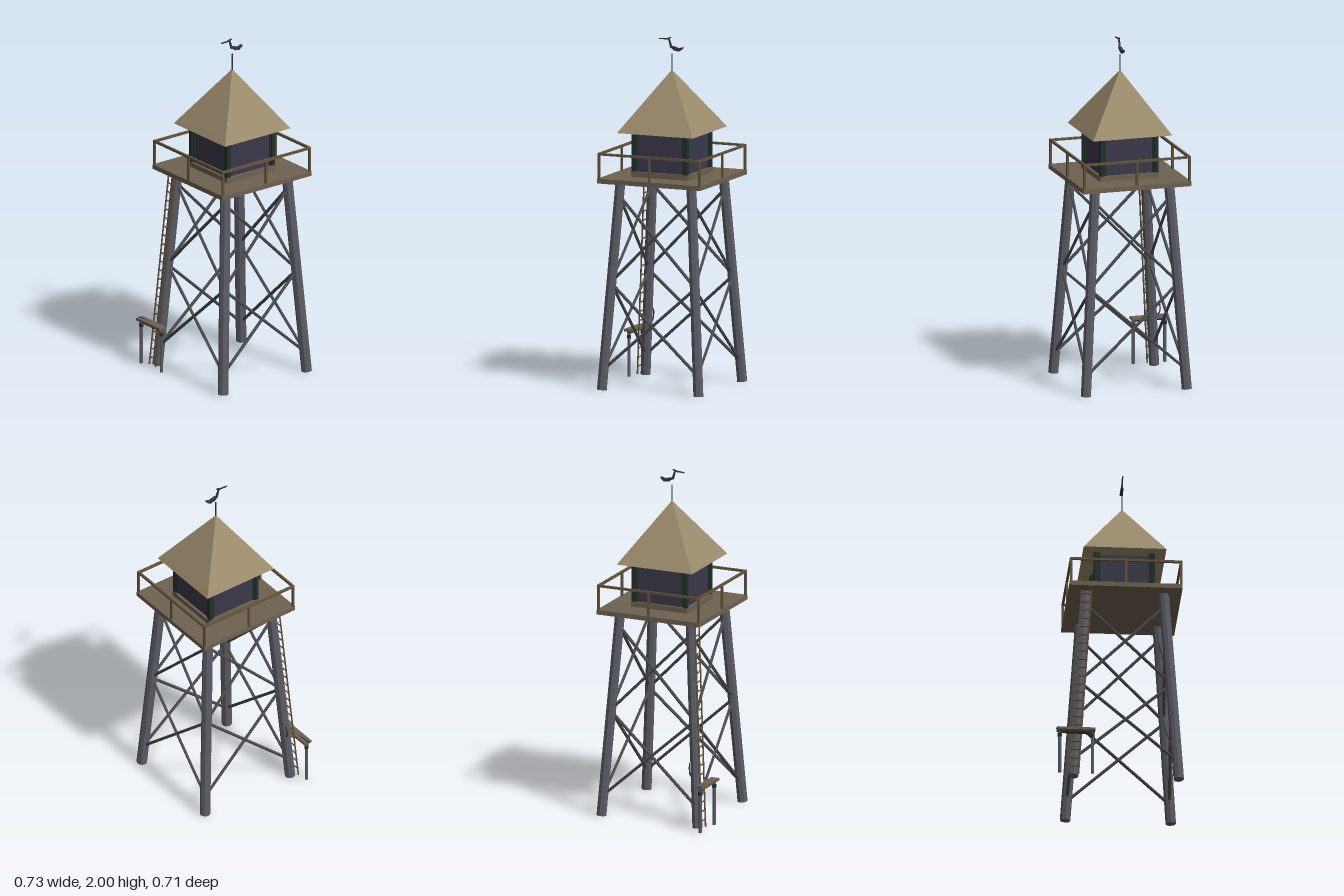
import * as THREE from 'three';

const mat = (color) => new THREE.MeshStandardMaterial({ color, flatShading: true });
const STEEL = mat(0x5c5d66), BRACE = mat(0x4b4c50), WOOD = mat(0x6e6150), RAIL = mat(0x65543c);
const ROOF = mat(0x9c8b6c), GLASS = mat(0x3b394a), GREEN = mat(0x20302a), IRON = mat(0x35353f);
const V = (x, y, z) => new THREE.Vector3(x, y, z);

function add(parent, name, geo, material, x = 0, y = 0, z = 0) {
  const m = new THREE.Mesh(geo, material);
  m.name = name;
  m.position.set(x, y, z);
  parent.add(m);
  return m;
}
const box = (parent, name, material, w, h, d, x, y, z) =>
  add(parent, name, new THREE.BoxGeometry(w, h, d), material, x, y, z);

// Round bar between two points
function bar(parent, name, a, b, r, material, sides = 6) {
  const m = add(parent, name, new THREE.CylinderGeometry(r, r, a.distanceTo(b), sides), material);
  m.position.copy(a).add(b).multiplyScalar(0.5);
  m.quaternion.setFromUnitVectors(V(0, 1, 0), b.clone().sub(a).normalize());
  return m;
}

// Square frustum with its sides facing the axes
function frustum(rTop, rBottom, h) {
  const k = Math.SQRT2;
  return new THREE.CylinderGeometry(rTop * k, rBottom * k, h, 4).rotateY(Math.PI / 4);
}

// Flat outline in (z, y), given thickness along x
function plate(points, thick) {
  const s = new THREE.Shape(points.map(([z, y]) => new THREE.Vector2(-z, y)));
  return new THREE.ExtrudeGeometry(s, { depth: thick, bevelEnabled: false })
    .translate(0, 0, -thick / 2).rotateY(Math.PI / 2);
}

const spread = (y) => 0.3 - 0.08 * y / 1.19;
const legAt = (sx, sz, y) => V(sx * spread(y), y, sz * spread(y));

export function createModel() {
  const model = new THREE.Group();
  model.name = 'watchtower';
  const tower = new THREE.Group();
  tower.name = 'tower';
  tower.position.set(0.035, 0, -0.027);
  model.add(tower);

  // Leaning legs
  for (const sx of [-1, 1]) for (const sz of [-1, 1])
    bar(tower, 'leg', legAt(sx, sz, 0.003), legAt(sx, sz, 1.19), 0.03, STEEL, 8);

  // Two tiers of cross braces on each side
  for (let i = 0; i < 4; i++) {
    const side = new THREE.Group();
    side.name = 'sideBraces';
    side.rotation.y = i * Math.PI / 2;
    tower.add(side);
    for (const [lo, hi] of [[0.12, 0.61], [0.62, 1.11]]) for (const s of [-1, 1])
      bar(side, 'crossBrace', legAt(-s, 1, lo), legAt(s, 1, hi), 0.009, BRACE);
  }

  // Platform and railing
  box(tower, 'platform', WOOD, 0.64, 0.027, 0.64, 0, 1.2, 0);
  for (let i = 0; i < 4; i++) {
    const side = new THREE.Group();
    side.name = 'railing';
    side.rotation.y = i * Math.PI / 2;
    tower.add(side);
    box(side, 'handrail', RAIL, 0.636, 0.013, 0.013, 0, 1.354, 0.312);
    for (const x of [-0.312, 0]) box(side, 'railPost', RAIL, 0.012, 0.14, 0.012, x, 1.28, 0.312);
  }

  // Cabin: plinth, four window walls, corner posts
  box(tower, 'cabinPlinth', WOOD, 0.35, 0.03, 0.35, 0, 1.228, 0);
  for (let i = 0; i < 4; i++) {
    const side = new THREE.Group();
    side.name = 'cabinSide';
    side.rotation.y = i * Math.PI / 2;
    tower.add(side);
    box(side, 'window', GLASS, 0.31, 0.212, 0.008, 0, 1.348, 0.156);
    box(side, 'cornerPost', GREEN, 0.022, 0.232, 0.022, 0.162, 1.355, 0.162);
    for (const s of [-1, 1]) box(side, 'windowFrame', GREEN, 0.01, 0.226, 0.012, s * 0.143, 1.355, 0.16);
  }

  // Roof with bevelled eave
  add(tower, 'eave', frustum(0.215, 0.235, 0.03), ROOF, 0, 1.483, 0);
  add(tower, 'roof', frustum(0.001, 0.215, 0.314), ROOF, 0, 1.655, 0);

  // Weather vane in the shape of a long-beaked bird
  const vane = new THREE.Group();
  vane.name = 'weatherVane';
  tower.add(vane);
  bar(vane, 'vanePole', V(0, 1.79, 0), V(0, 1.905, 0), 0.004, IRON);
  add(vane, 'vaneBody', plate([[0.01, 1.945], [-0.015, 1.925], [-0.045, 1.92], [-0.068, 1.937],
    [-0.07, 1.945], [-0.04, 1.938], [-0.01, 1.947]], 0.016), IRON);
  add(vane, 'vaneNeck', plate([[0.022, 1.985], [0.014, 1.985], [-0.004, 1.935], [0.01, 1.938]], 0.009), IRON);
  add(vane, 'vaneBeak', plate([[0.078, 1.983], [0.078, 1.988], [0.03, 1.992], [0.008, 2.0],
    [0.004, 1.994], [0.025, 1.984]], 0.006), IRON);

  // Ladder in front of the leg
  const ladder = new THREE.Group();
  ladder.name = 'ladder';
  tower.add(ladder);
  const rung = (s, y) => legAt(-1, 1, y).add(V(s * 0.028, 0, 0.038));
  for (const s of [-1, 1]) bar(ladder, 'ladderRail', rung(s, 0.005), rung(s, 1.19), 0.005, RAIL);
  for (let y = 0.05; y < 1.18; y += 0.053) bar(ladder, 'rung', rung(-1, y), rung(1, y), 0.004, RAIL);

  // Small work bench beside the ladder
  const bench = new THREE.Group();
  bench.name = 'bench';
  bench.position.set(-0.252, 0, 0.328);
  model.add(bench);
  for (const s of [-1, 1]) {
    bar(bench, 'benchPost', V(s * 0.093, 0, 0), V(s * 0.093, 0.255, 0), 0.01, STEEL);
    bar(bench, 'postCollar', V(s * 0.093, 0.22, 0), V(s * 0.093, 0.24, 0), 0.013, GREEN);
  }
  box(bench, 'benchBeam', GREEN, 0.2, 0.012, 0.016, 0, 0.252, 0);
  box(bench, 'benchTop', WOOD, 0.216, 0.014, 0.05, 0, 0.266, 0);
  const blade = add(bench, 'blade', new THREE.ConeGeometry(0.008, 0.144, 4), IRON, -0.042, 0.272, 0);
  blade.rotation.z = -Math.PI / 2;
  blade.scale.x = 0.5;

  // Hook on the outside of the ladder leg
  const hook = new THREE.CatmullRomCurve3([V(-0.25, 0.29, 0.245), V(-0.284, 0.31, 0.238),
    V(-0.288, 0.345, 0.234), V(-0.278, 0.38, 0.23)]);
  add(model, 'hook', new THREE.TubeGeometry(hook, 8, 0.004, 5), IRON);

  return model;
}
